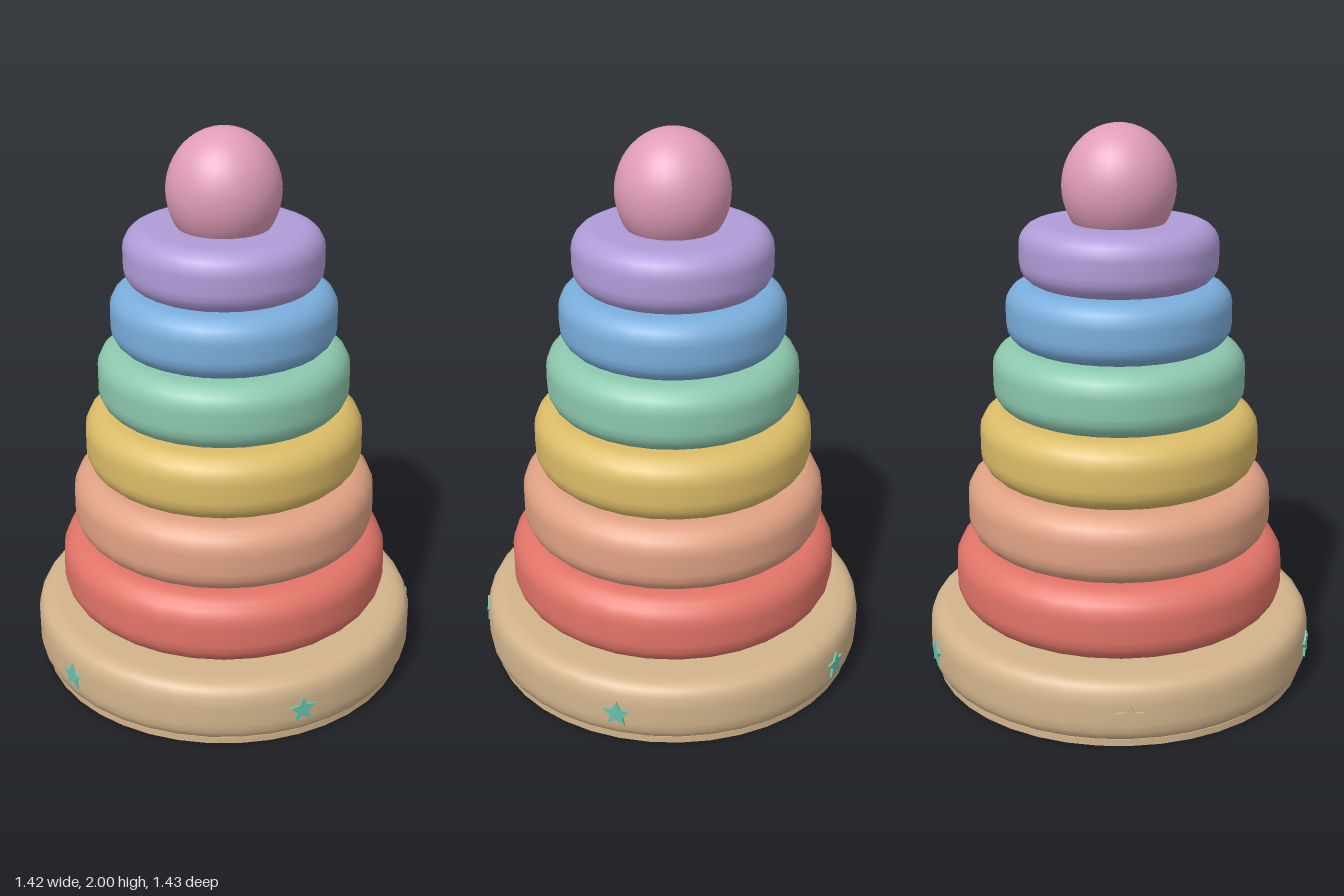
import * as THREE from 'three';

const mat = (name, color) => {
  const m = new THREE.MeshStandardMaterial({ color });
  m.name = name;
  return m;
};

// Closed rounded-rectangle cross-section, running counterclockwise from the inner side
function ringProfile(inner, outer, y0, y1, corner, steps = 5) {
  const pts = [new THREE.Vector2(inner, (y0 + y1) / 2)];
  const corners = [
    [inner + corner, y0 + corner, Math.PI],
    [outer - corner, y0 + corner, Math.PI * 1.5],
    [outer - corner, y1 - corner, 0],
    [inner + corner, y1 - corner, Math.PI * 0.5],
  ];
  for (const [cx, cy, start] of corners) {
    for (let i = 0; i <= steps; i++) {
      const a = start + (i / steps) * Math.PI / 2;
      pts.push(new THREE.Vector2(cx + corner * Math.cos(a), cy + corner * Math.sin(a)));
    }
  }
  pts.push(pts[0].clone());
  return pts;
}

function starShape(radius) {
  const pts = [];
  for (let i = 0; i < 10; i++) {
    const r = i % 2 ? radius * 0.48 : radius;
    const a = Math.PI / 2 + (i * Math.PI) / 5;
    pts.push(new THREE.Vector2(r * Math.cos(a), r * Math.sin(a)));
  }
  return new THREE.Shape(pts);
}

export function createModel() {
  const group = new THREE.Group();
  const add = (name, geometry, material) => {
    const mesh = new THREE.Mesh(geometry, material);
    mesh.name = name;
    group.add(mesh);
    return mesh;
  };
  const wood = mat('wood', 0xd2b48c);
  const teal = mat('teal', 0x6cc0ac);

  // Base: rounded disc on a thin foot
  const baseProfile = [
    [0, 0.02], [0.675, 0.02], [0.695, 0.035], [0.706, 0.06], [0.71, 0.09], [0.71, 0.165],
    [0.704, 0.2], [0.69, 0.225], [0.665, 0.238], [0.63, 0.243], [0, 0.243],
  ].map(([r, y]) => new THREE.Vector2(r, y));
  add('base', new THREE.LatheGeometry(baseProfile, 40), wood);
  add('baseFoot', new THREE.CylinderGeometry(0.685, 0.685, 0.025, 40), wood).position.y = 0.0125;

  // Centre pole
  add('pole', new THREE.CylinderGeometry(0.1, 0.1, 1.42, 24), wood).position.y = 0.92;

  // Stacked rings: colour name, colour, outer radius, bottom, top
  const rings = [
    ['red', 0xe27468, 0.605, 0.247, 0.51],
    ['peach', 0xe0a284, 0.555, 0.507, 0.757],
    ['yellow', 0xdcbc68, 0.505, 0.755, 0.997],
    ['green', 0x8cc8ae, 0.453, 0.995, 1.232],
    ['blue', 0x7aaedc, 0.402, 1.23, 1.45],
    ['purple', 0xb09cd8, 0.352, 1.447, 1.662],
  ];
  for (const [name, color, outer, y0, y1] of rings) {
    const profile = ringProfile(0.1, outer, y0, y1, (y1 - y0) * 0.36);
    add(name + 'Ring', new THREE.LatheGeometry(profile, 32), mat(name, color));
  }

  // Egg-shaped top knob
  const knob = add('knob', new THREE.SphereGeometry(0.2, 32, 24), mat('pink', 0xe09cb8));
  knob.scale.y = 1.08;
  knob.position.y = 1.784;

  // Five stars around the base, one left in plain wood
  const star = new THREE.ExtrudeGeometry(starShape(0.05), { depth: 0.02, bevelEnabled: false });
  for (let i = 0; i < 5; i++) {
    const a = (i * Math.PI * 2) / 5;
    const mesh = add('star', star, i === 3 ? wood : teal);
    mesh.position.set(0.696 * Math.sin(a), 0.125, 0.696 * Math.cos(a));
    mesh.rotation.y = a;
  }
  return group;
}
